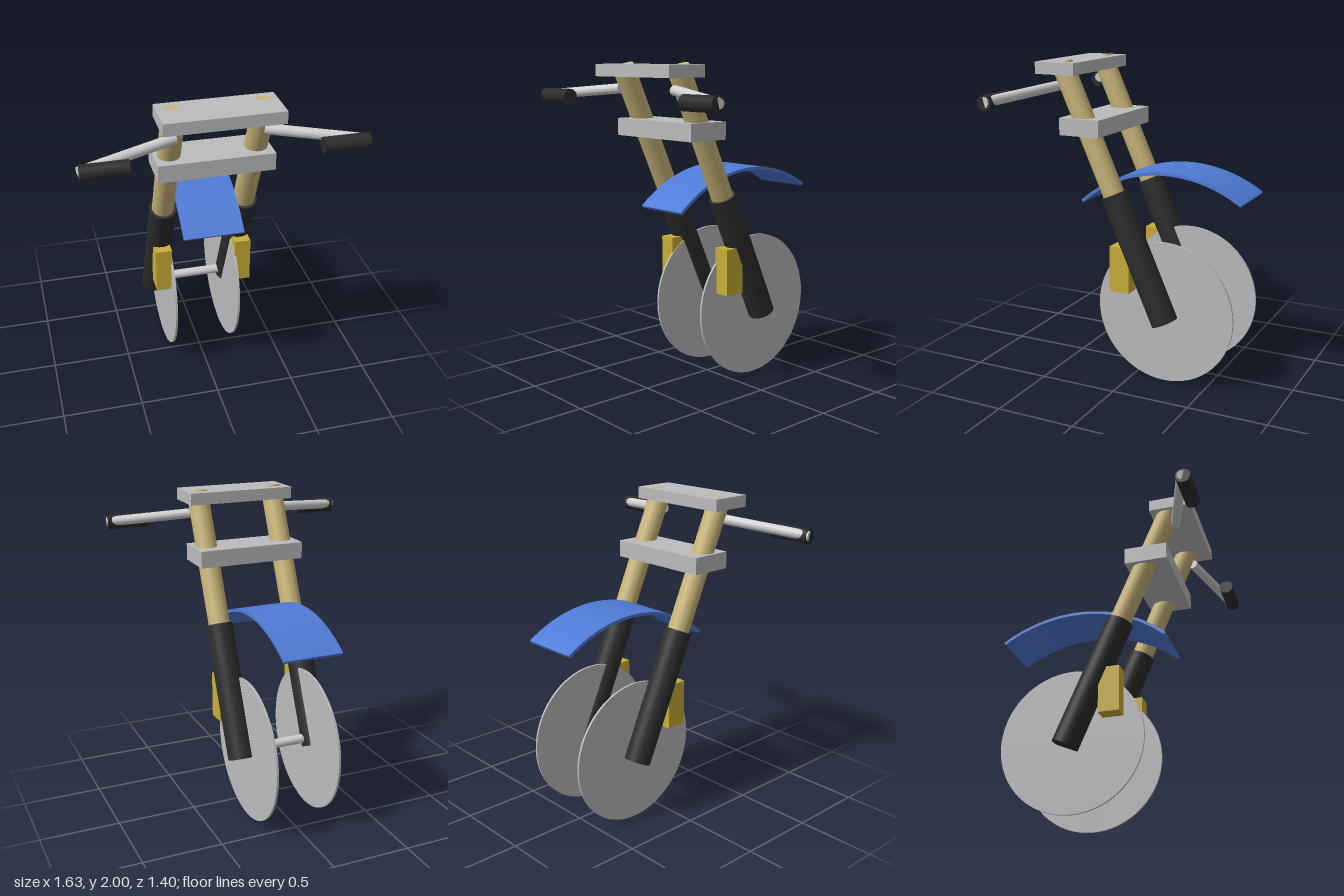
import * as THREE from 'three';

const mat = (name, color) => {
  const m = new THREE.MeshStandardMaterial({ color });
  m.name = name;
  return m;
};

export function createModel() {
  const model = new THREE.Group();
  model.name = 'frontForkAssembly';

  const gold = mat('tan gold', 0xc8b478);
  const black = mat('black', 0x2c2c2c);
  const grey = mat('alloy grey', 0xbcbcbe);
  const steel = mat('bright steel', 0xd0d0d0);
  const blue = mat('fender blue', 0x4f7bd6);
  const yellow = mat('caliper yellow', 0xc8ae38);

  const add = (name, geometry, material) => {
    const mesh = new THREE.Mesh(geometry, material);
    mesh.name = name;
    model.add(mesh);
    return mesh;
  };
  const box = (name, material, size, centre) =>
    add(name, new THREE.BoxGeometry(...size), material).position.set(...centre);
  // Solid rod between two points
  const rod = (name, material, radius, from, to, sides = 32) => {
    const a = new THREE.Vector3(...from);
    const b = new THREE.Vector3(...to);
    const mesh = add(name, new THREE.CylinderGeometry(radius, radius, a.distanceTo(b), sides), material);
    mesh.position.copy(a).add(b).multiplyScalar(0.5);
    mesh.quaternion.setFromUnitVectors(new THREE.Vector3(0, 1, 0), b.sub(a).normalize());
  };

  const hubY = 0.455;
  const hubZ = -0.214;

  for (const [side, s] of [['left', 1], ['right', -1]]) {
    // Raked fork leg: slim upper tube sliding into a thick lower sleeve
    const x = 0.257 * s;
    rod(side + 'UpperTube', gold, 0.0675, [x, 1.97, 0.454], [x, 1.0, 0.024]);
    rod(side + 'LowerSleeve', black, 0.084, [x, 1.19, 0.108], [x, 0.41, -0.238]);

    // Brake disc and caliper
    rod(side + 'BrakeDisc', grey, 0.455, [0.2 * s, hubY, hubZ], [0.214 * s, hubY, hubZ], 64);
    box(side + 'Caliper', yellow, [0.104, 0.29, 0.132], [0.258 * s, 0.725, 0.05]);

    // Handlebar and grip
    rod(side + 'Handlebar', steel, 0.031, [0.255 * s, 1.838, 0.478], [0.805 * s, 1.79, 0.648]);
    rod(side + 'Grip', black, 0.046, [0.537 * s, 1.786, 0.652], [0.804 * s, 1.786, 0.652]);
  }

  // Clamps joining the two legs
  box('upperClamp', grey, [0.69, 0.074, 0.267], [0, 1.948, 0.462]);
  box('lowerClamp', grey, [0.69, 0.106, 0.27], [0, 1.6, 0.299]);

  rod('axle', steel, 0.029, [-0.205, hubY, hubZ], [0.205, hubY, hubZ]);

  // Curved fender: an arc band around the hub, extruded across the width
  const front = Math.PI / 2 - 0.735;
  const rear = Math.PI / 2 + 0.582;
  const arc = new THREE.Shape();
  arc.absarc(0, 0, 0.885, front, rear, false);
  arc.absarc(0, 0, 0.866, rear, front, true);
  const fenderGeo = new THREE.ExtrudeGeometry(arc, { depth: 0.374, bevelEnabled: false, curveSegments: 32 });
  fenderGeo.translate(0, 0, -0.187);
  fenderGeo.rotateY(-Math.PI / 2);
  add('fender', fenderGeo, blue).position.set(0, hubY, hubZ);

  return model;
}
